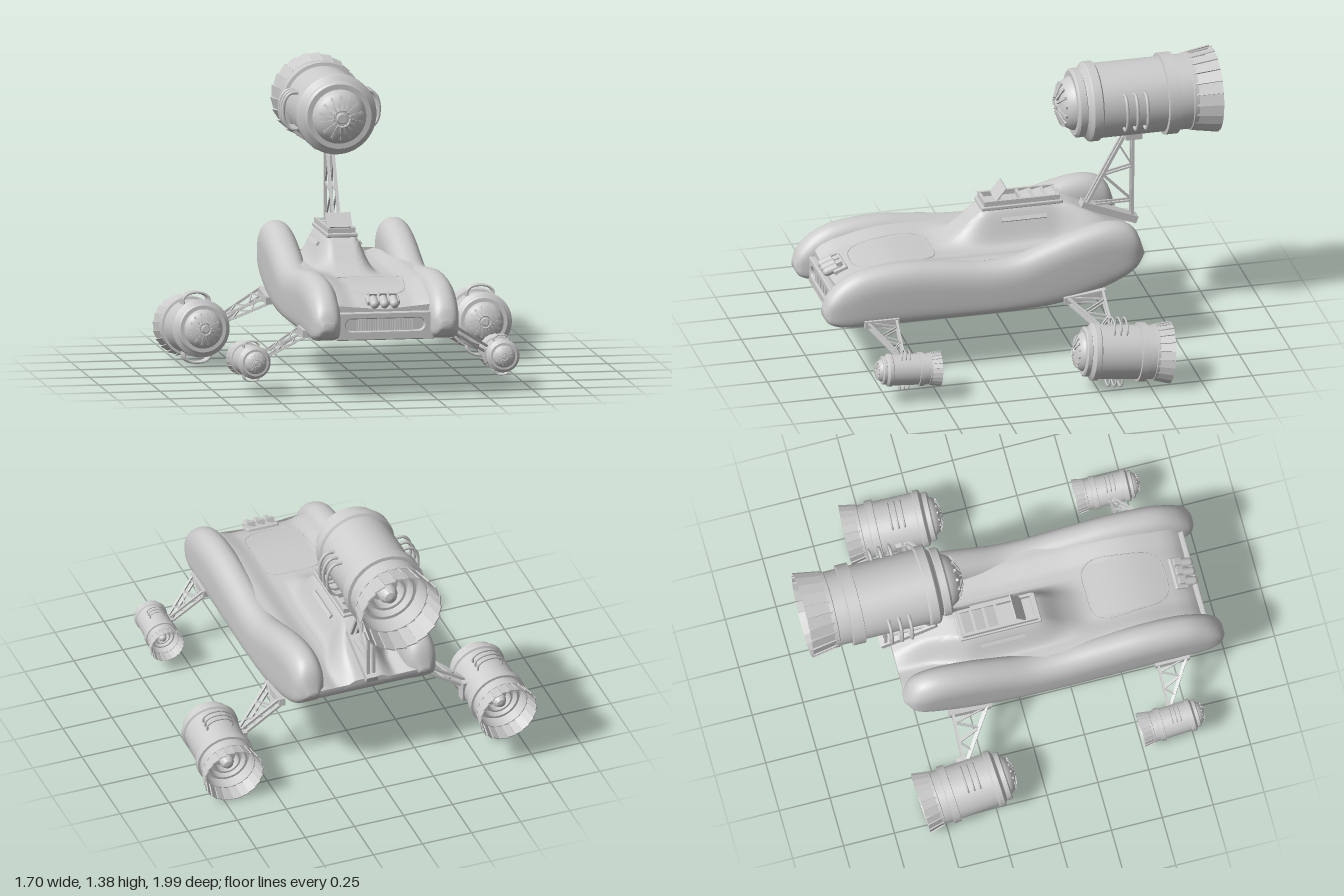
import * as THREE from 'three';
import { toCreasedNormals, mergeGeometries } from 'three/addons/utils/BufferGeometryUtils.js';
import { RoundedBoxGeometry } from 'three/addons/geometries/RoundedBoxGeometry.js';

const material = new THREE.MeshStandardMaterial({ color: 0xcccccc, roughness: 0.7 });
const V = (x, y, z) => new THREE.Vector3(x, y, z);
const { smoothstep } = THREE.MathUtils;

function add(parent, name, geometry, x = 0, y = 0, z = 0) {
  const mesh = new THREE.Mesh(geometry, material);
  mesh.name = name;
  mesh.position.set(x, y, z);
  parent.add(mesh);
  return mesh;
}

// Smooth curve through [z, value] pairs listed with falling z
function sample(table, z) {
  const n = table.length - 1;
  if (z >= table[0][0]) return table[0][1];
  if (z <= table[n][0]) return table[n][1];
  let i = 0;
  while (z < table[i + 1][0]) i++;
  const slope = (k) => {
    const a = table[Math.max(k - 1, 0)], b = table[Math.min(k + 1, n)];
    return (b[1] - a[1]) / (b[0] - a[0]);
  };
  const [z0, v0] = table[i], [z1, v1] = table[i + 1], h = z1 - z0, t = (z - z0) / h;
  const t2 = t * t, t3 = t2 * t;
  return (2 * t3 - 3 * t2 + 1) * v0 + (t3 - 2 * t2 + t) * h * slope(i)
    + (3 * t2 - 2 * t3) * v1 + (t3 - t2) * h * slope(i + 1);
}

// Skin over closed cross-sections, ordered front to back, with both ends capped
function loft(sections, crease) {
  const n = sections[0].length, pos = sections.flat().flatMap((p) => [p.x, p.y, p.z]), index = [];
  for (let i = 0; i < sections.length - 1; i++) for (let j = 0; j < n; j++) {
    const a = i * n + j, b = i * n + (j + 1) % n;
    index.push(a, a + n, b, b, a + n, b + n);
  }
  [0, sections.length - 1].forEach((s, end) => {
    const centre = V(0, 0, 0);
    sections[s].forEach((p) => centre.addScaledVector(p, 1 / n));
    const c = pos.push(centre.x, centre.y, centre.z) / 3 - 1;
    for (let j = 0; j < n; j++) {
      const a = s * n + j, b = s * n + (j + 1) % n;
      index.push(c, end ? b : a, end ? a : b);
    }
  });
  const g = new THREE.BufferGeometry();
  g.setAttribute('position', new THREE.Float32BufferAttribute(pos, 3));
  g.setIndex(index);
  return toCreasedNormals(g, crease);
}

// Body curves
const fenderTop = [[0.99, 0.385], [0.97, 0.44], [0.9, 0.51], [0.8, 0.555], [0.6, 0.575], [0.4, 0.56], [0.2, 0.54],
  [0.05, 0.55], [-0.1, 0.6], [-0.25, 0.65], [-0.4, 0.677], [-0.5, 0.66], [-0.55, 0.61], [-0.58, 0.52]];
const floor = [[0.99, 0.345], [0.97, 0.315], [0.9, 0.292], [0.8, 0.29], [0, 0.29], [-0.2, 0.31], [-0.4, 0.37],
  [-0.5, 0.42], [-0.55, 0.46], [-0.58, 0.5]];
const fenderWidth = [[0.99, 0.03], [0.97, 0.055], [0.9, 0.072], [0.7, 0.08], [0, 0.08], [-0.45, 0.08], [-0.54, 0.066], [-0.58, 0.025]];
const deckLine = [[0.92, 0.41], [0.88, 0.45], [0.8, 0.485], [0.6, 0.52], [0.3, 0.515], [0, 0.515], [-0.3, 0.52], [-0.57, 0.49]];
const humpLine = [[0.4, 0.515], [0.33, 0.53], [0.25, 0.575], [0.15, 0.66], [0.09, 0.68], [-0.25, 0.678], [-0.36, 0.64], [-0.57, 0.53]];

function deckY(x, z) {
  const deck = sample(deckLine, z);
  const rise = z < 0.4 ? Math.max(sample(humpLine, z) - deck, 0) : 0;
  const cx = -0.065 * smoothstep(z, -0.45, -0.2);
  return deck + rise * (1 - smoothstep(Math.abs(x - cx), 0.055, 0.16)) + 0.025 * smoothstep(Math.abs(x), 0.13, 0.24);
}

function fender(side) {
  const sections = [];
  for (let i = 0; i <= 56; i++) {
    const z = 0.205 + 0.785 * Math.cos((i / 56) * Math.PI);
    const top = sample(fenderTop, z), low = sample(floor, z), w = sample(fenderWidth, z);
    const mid = Math.max((top + low) / 2, top - 0.12), loop = [];
    for (let j = 0; j < 40; j++) {
      const t = (j / 40) * Math.PI * 2, c = Math.cos(t), s = Math.sin(t), e = s > 0 ? 0.88 : 0.4;
      const h = s > 0 ? top - mid : mid - low;
      loop.push(V(side * 0.285 + w * Math.sign(c) * Math.abs(c) ** e, mid + h * Math.sign(s) * Math.abs(s) ** e, z));
    }
    sections.push(loop);
  }
  return loft(sections, 0.9);
}

function centreBody() {
  const sections = [];
  for (let i = 0; i <= 70; i++) {
    const z = 0.9 - (1.47 * i) / 70, loop = [];
    for (let j = 0; j <= 60; j++) {
      const x = 0.27 - (0.54 * j) / 60;
      loop.push(V(x, deckY(x, z), z));
    }
    const low = sample(floor, z) + 0.004;
    loop.push(V(-0.27, low, z), V(0.27, low, z));
    sections.push(loop);
  }
  return loft(sections, 0.7);
}

function beam(parent, name, a, b, w, h = w) {
  const m = add(parent, name, new THREE.BoxGeometry(w, h, a.distanceTo(b)), ...a.clone().lerp(b, 0.5));
  m.lookAt(b);
}

// Two-sided lattice bracket: tip at the engine, two feet on the body
function truss(name, tip, back, front, gap, w, baseWidth) {
  const g = new THREE.Group();
  g.name = name;
  const tipFront = tip.clone().lerp(front.clone().sub(back).add(tip), 0.12);
  for (const s of [-1, 1]) {
    const off = (p) => p.clone().addScaledVector(gap, s);
    beam(g, 'post', off(back), off(tip), w);
    beam(g, 'brace', off(front), off(tipFront), w);
    for (let i = 0; i < 4; i++) {
      const rail = (k) => (k % 2 ? back.clone().lerp(tip, k / 5) : front.clone().lerp(tipFront, k / 5));
      beam(g, 'lattice', off(rail(i)), off(rail(i + 1)), w * 0.6);
    }
  }
  const reach = front.clone().sub(back).multiplyScalar(0.1);
  beam(g, 'foot', back.clone().sub(reach), front.clone().add(reach), baseWidth, 0.035);
  return g;
}

// Jet engine: nose at the origin, exhaust towards -z, mount on -y
function engine(name) {
  const g = new THREE.Group();
  g.name = name;
  const outer = [[0, 0.012], [0.05, 0.014], [0.085, 0.024], [0.11, 0.042], [0.126, 0.068], [0.13, 0.08], [0.155, 0.08],
    [0.166, 0.09], [0.166, 0.122], [0.158, 0.126], [0.166, 0.135], [0.184, 0.143], [0.192, 0.152], [0.192, 0.192],
    [0.18, 0.2], [0.18, 0.515], [0.196, 0.518], [0.196, 0.577], [0.18, 0.58], [0.18, 0.64], [0.186, 0.643], [0.186, 0.665]];
  const inner = [[0.172, 0.665], [0.165, 0.57], [0.14, 0.56], [0.14, 0.61], [0.125, 0.61], [0.12, 0.55], [0.095, 0.54],
    [0.095, 0.6], [0.082, 0.6], [0.078, 0.53], [0.045, 0.53], [0.045, 0.61], [0.03, 0.64], [0, 0.65]];
  const shell = new THREE.LatheGeometry([...outer, ...inner].map((p) => new THREE.Vector2(...p)), 48);
  add(g, 'shell', toCreasedNormals(shell.rotateX(-Math.PI / 2), 0.5));
  add(g, 'noseHub', new THREE.CylinderGeometry(0.022, 0.028, 0.016, 20).rotateX(Math.PI / 2), 0, 0, -0.008);

  // Radial nose fins and overlapping exhaust petals
  const fins = [], petals = [];
  for (let i = 0; i < 14; i++) fins.push(new THREE.BoxGeometry(0.012, 0.075, 0.014)
    .rotateX(-0.38).translate(0, 0.072, -0.02).rotateZ((i / 14) * Math.PI * 2));
  for (let i = 0; i < 22; i++) petals.push(new THREE.BoxGeometry(0.056, 0.006, 0.13)
    .rotateZ(0.16).rotateX(0.17).translate(0, 0.189, -0.716).rotateZ((i / 22) * Math.PI * 2));
  add(g, 'noseFins', mergeGeometries(fins));
  add(g, 'exhaustPetals', mergeGeometries(petals));

  // Three curved pipes on each flank
  for (const s of [-1, 1]) for (const d of [0.3, 0.35, 0.4]) {
    const path = new THREE.CatmullRomCurve3([[0.15, 0.085], [0.195, 0.085], [0.226, 0.045], [0.226, -0.045], [0.195, -0.085], [0.15, -0.085]]
      .map(([x, y]) => V(s * x, y, -d)));
    add(g, 'sidePipe', new THREE.TubeGeometry(path, 24, 0.008, 8));
  }
  add(g, 'mount', new THREE.BoxGeometry(0.15, 0.06, 0.08), 0, -0.162, -0.37);
  return g;
}

function placeEngine(parent, name, nose, tail, radial, roll) {
  const e = engine(name);
  e.position.copy(nose);
  e.lookAt(nose.clone().multiplyScalar(2).sub(tail));
  e.rotateZ(roll);
  e.scale.set(radial, radial, nose.distanceTo(tail) / 0.78);
  parent.add(e);
}

function slot(path, w, h) {
  const r = h / 2, x = w / 2 - r;
  path.absarc(x, 0, r, -Math.PI / 2, Math.PI / 2, false);
  path.absarc(-x, 0, r, Math.PI / 2, Math.PI * 1.5, false);
  path.closePath();
  return path;
}

export function createModel() {
  const model = new THREE.Group(), car = new THREE.Group();
  model.name = 'jetRacer';
  car.name = 'vehicle';
  car.position.x = 0.01;
  model.add(car);

  add(car, 'centreBody', centreBody());
  add(car, 'leftFender', fender(1));
  add(car, 'rightFender', fender(-1));

  // Nose grille
  const plate = new THREE.Shape([[-0.23, -0.068], [0.23, -0.068], [0.23, 0.055], [-0.23, 0.055]].map((p) => new THREE.Vector2(...p)));
  plate.holes.push(slot(new THREE.Path(), 0.39, 0.068));
  add(car, 'grilleFrame', new THREE.ExtrudeGeometry(plate,
    { depth: 0.02, bevelThickness: 0.008, bevelSize: 0.005, bevelSegments: 3, curveSegments: 10 }), 0, 0.365, 0.9);
  for (let i = 0; i < 24; i++) add(car, 'grilleBar', new THREE.BoxGeometry(0.006, 0.066, 0.016), -0.135 + (i * 0.27) / 23, 0.365, 0.91);

  // Lamp cluster on the nose
  const lamps = new THREE.Group();
  lamps.name = 'lampCluster';
  lamps.position.set(0, 0.465, 0.865);
  lamps.rotation.x = 0.35;
  for (const x of [-0.048, 0, 0.048]) {
    add(lamps, 'lamp', new THREE.CapsuleGeometry(0.021, 0.06, 6, 16).rotateX(Math.PI / 2), x, 0.012, 0.012);
    add(lamps, 'lampClamp', new THREE.BoxGeometry(0.035, 0.02, 0.03), x, 0.03, -0.025);
  }
  add(lamps, 'lampBase', new RoundedBoxGeometry(0.16, 0.03, 0.07, 2, 0.008), 0, 0, -0.02);
  car.add(lamps);

  // Hatch seam on the front deck
  const seam = [[0, 0.39], [0.11, 0.4], [0.152, 0.46], [0.145, 0.6], [0.125, 0.73], [0.08, 0.775]];
  const ring = [...seam, ...seam.slice(1).reverse().map(([x, z]) => [-x, z])].map(([x, z]) => V(x, deckY(x, z), z));
  add(car, 'hatchSeam', new THREE.TubeGeometry(new THREE.CatmullRomCurve3(ring, true), 80, 0.0025, 5, true));

  // Cockpit frame, slats, screen and side vents
  const cockpit = new THREE.Group();
  cockpit.name = 'cockpit';
  cockpit.position.set(-0.065, 0.68, -0.06);
  add(cockpit, 'sill', new RoundedBoxGeometry(0.15, 0.02, 0.4, 2, 0.006), 0, 0, 0);
  for (const s of [-1, 1]) {
    add(cockpit, 'rail', new THREE.BoxGeometry(0.014, 0.03, 0.37), s * 0.06, 0.019, 0);
    add(cockpit, 'sideVent', new THREE.BoxGeometry(0.02, 0.012, 0.22), s * 0.102, -0.05, 0).rotation.z = -s * 0.9;
  }
  for (const z of [0.178, 0.09, 0, -0.06, -0.12, -0.178]) add(cockpit, 'crossBar', new THREE.BoxGeometry(0.12, 0.026, 0.014), 0, 0.019, z);
  for (const z of [-0.03, -0.09, -0.15]) add(cockpit, 'slat', new THREE.BoxGeometry(0.11, 0.006, 0.055), 0, 0.02, z).rotation.x = 0.25;
  add(cockpit, 'screen', new THREE.BoxGeometry(0.122, 0.006, 0.08), 0, 0.06, 0.1).rotation.x = 0.9;
  car.add(cockpit);

  // Top engine on its pylon
  placeEngine(car, 'topEngine', V(0, 1.185, -0.22), V(0, 1.185, -1), 1, 0);
  car.add(truss('pylon', V(0, 1.01, -0.6), V(0, 0.56, -0.595), V(0, 0.65, -0.37), V(0.014, 0, 0), 0.014, 0.06));

  // Outrigger engines
  for (const s of [-1, 1]) {
    const side = s > 0 ? 'left' : 'right', roll = -s * Math.PI / 2;
    placeEngine(car, side + 'RearEngine', V(s * 0.675, 0.205, -0.135), V(s * 0.7, 0.16, -0.605), 0.72, roll);
    placeEngine(car, side + 'FrontEngine', V(s * 0.598, 0.178, 0.815), V(s * 0.61, 0.16, 0.5), 0.41, roll);
    car.add(truss(side + 'RearStrut', V(s * 0.565, 0.22, -0.36), V(s * 0.365, 0.35, -0.36), V(s * 0.362, 0.33, -0.19),
      V(s * 0.008, 0.014, 0), 0.012, 0.03));
    car.add(truss(side + 'FrontStrut', V(s * 0.53, 0.2, 0.655), V(s * 0.36, 0.312, 0.65), V(s * 0.36, 0.312, 0.79),
      V(s * 0.007, 0.012, 0), 0.01, 0.03));
  }
  return model;
}
